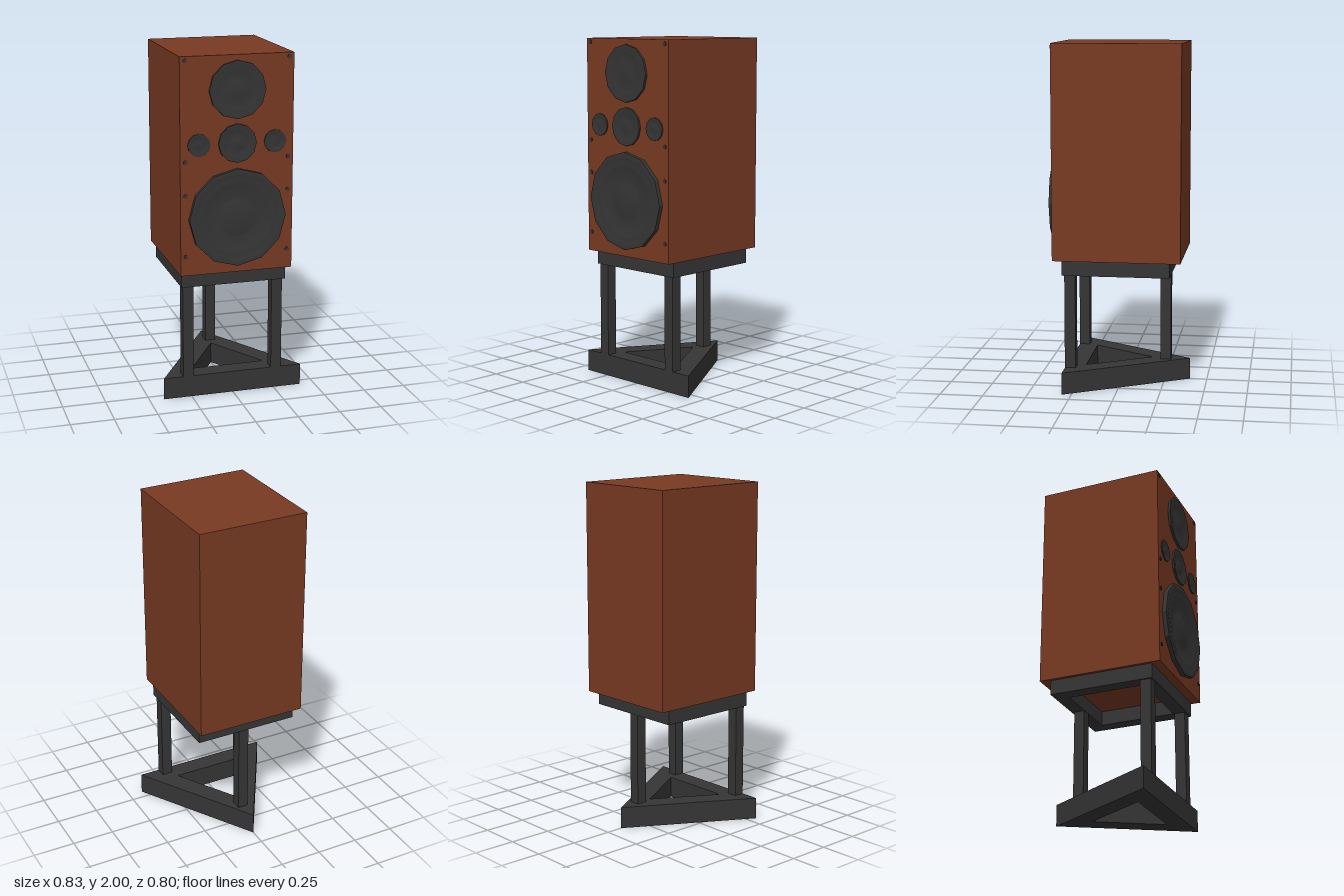
import * as THREE from 'three';
import { toCreasedNormals } from 'three/addons/utils/BufferGeometryUtils.js';

const wood = new THREE.MeshStandardMaterial({ color: 0x783a22 });
wood.name = 'brown wood';
const black = new THREE.MeshStandardMaterial({ color: 0x353535 });
black.name = 'charcoal';

const FRONT = 0.372; // z of the cabinet's front face

export function createModel() {
  const model = new THREE.Group();
  model.name = 'speakerOnStand';

  function add(name, geometry, material, x = 0, y = 0, z = 0) {
    const mesh = new THREE.Mesh(geometry, material);
    mesh.name = name;
    mesh.position.set(x, y, z);
    model.add(mesh);
    return mesh;
  }

  // Flat outline with a hole, extruded upwards; points are [x, z]
  function slab(outer, inner, height) {
    const toPoints = (list) => list.map(([x, z]) => new THREE.Vector2(x, -z));
    const shape = new THREE.Shape(toPoints(outer));
    shape.holes.push(new THREE.Path(toPoints(inner)));
    return new THREE.ExtrudeGeometry(shape, { depth: height, bevelEnabled: false }).rotateX(-Math.PI / 2);
  }

  // Cabinet
  add('cabinet', new THREE.BoxGeometry(0.654, 1.238, 0.737), wood, 0, 1.381, 0.0035);

  // Drivers: rim, surround roll, shallow cone and domed dust cap
  function driver(name, x, y, r, h) {
    const profile = [
      [1, 0], [1, 0.96], [0.97, 1], [0.88, 0.95], [0.83, 0.82], [0.77, 0.88], [0.71, 0.76],
      [0.42, 0.25], [0.38, 0.3], [0.27, 0.48], [0.13, 0.58], [0, 0.6],
    ].map(([a, b]) => new THREE.Vector2(a * r, b * h));
    const geometry = new THREE.LatheGeometry(profile, 12).rotateX(Math.PI / 2);
    add(name, toCreasedNormals(geometry, 0.45), black, x, y, FRONT);
  }
  driver('woofer', 0, 1.085, 0.281, 0.026);
  driver('upperDriver', 0, 1.807, 0.163, 0.014);
  driver('midrange', 0, 1.508, 0.11, 0.012);
  for (const side of [-1, 1]) driver(side > 0 ? 'leftTweeter' : 'rightTweeter', side * 0.22, 1.508, 0.065, 0.007);

  // Grille fixings along both edges of the front
  for (const side of [-1, 1]) {
    for (const y of [1.978, 1.415, 1.225, 0.873]) {
      add('fixing', new THREE.CylinderGeometry(0.012, 0.012, 0.005, 8).rotateX(Math.PI / 2),
        black, side * 0.298, y, FRONT + 0.0025);
    }
  }

  // Open rectangular frame under the cabinet
  const rect = (x, z0, z1) => [[-x, z1], [x, z1], [x, z0], [-x, z0]];
  add('topFrame', slab(rect(0.31, -0.303, 0.318), rect(0.229, -0.222, 0.237), 0.087), black, 0, 0.675);

  // Three square legs
  for (const [name, x, z] of [['frontLeftLeg', 0.263, 0.275], ['frontRightLeg', -0.269, 0.275], ['backLeg', 0.011, -0.256]]) {
    add(name, new THREE.BoxGeometry(0.063, 0.55, 0.063), black, x, 0.401, z);
  }

  // Triangular floor frame
  const triangle = (x, front, back) => [[-x, front], [x, front], [0, back]];
  add('baseFrame', slab(triangle(0.416, 0.305, -0.4), triangle(0.217, 0.192, -0.175), 0.127), black);

  return model;
}
